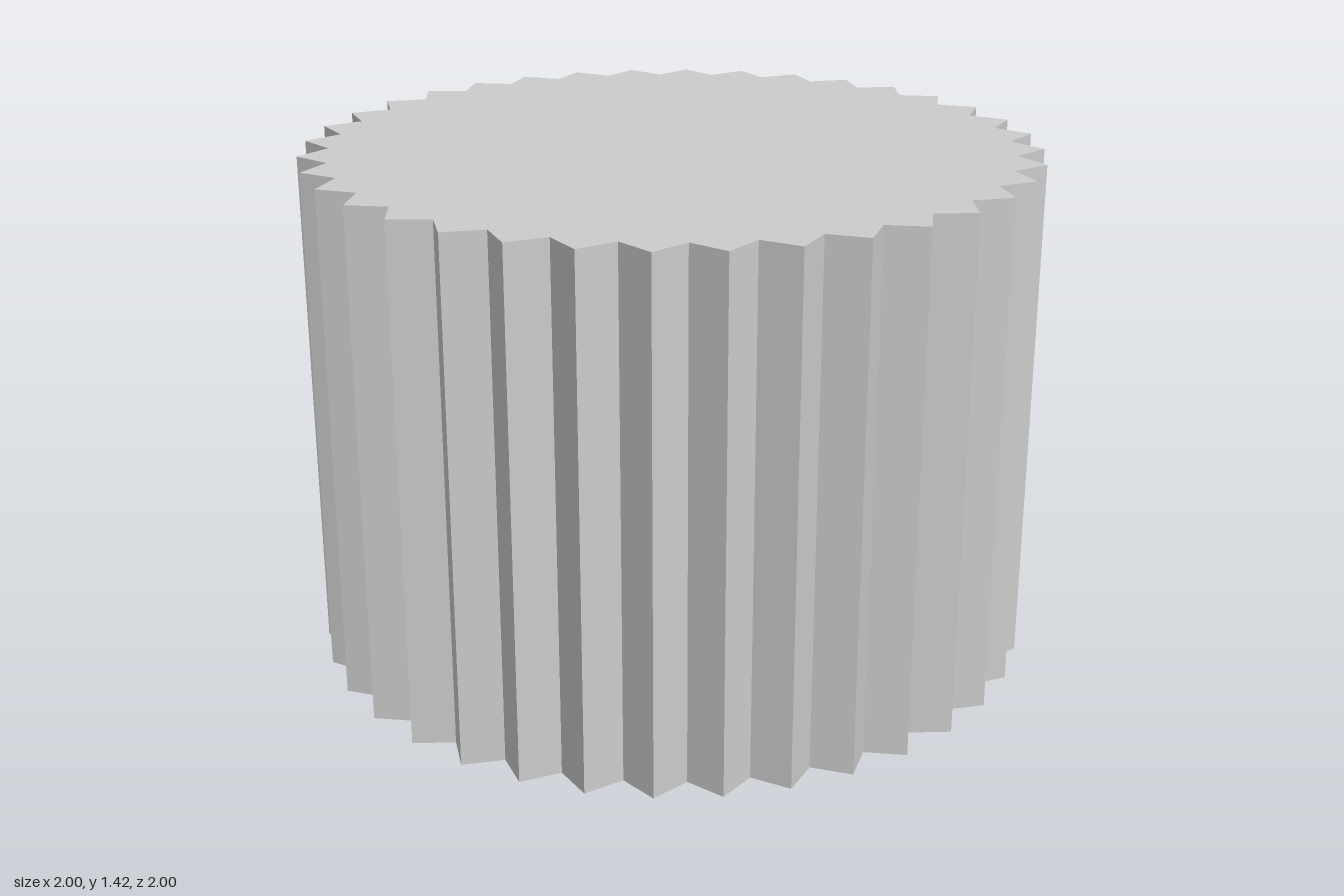
import * as THREE from 'three';

const TEETH = 36;
const TIP_RADIUS = 1.0038;
const ROOT_RADIUS = 0.9266;
const HEIGHT = 1.42;

// Star outline: roots on every whole tooth step, tips half a step between.
function toothedOutline() {
  const points = [];
  for (let i = 0; i < TEETH * 2; i++) {
    const angle = (i * Math.PI) / TEETH;
    const radius = i % 2 ? TIP_RADIUS : ROOT_RADIUS;
    points.push(new THREE.Vector2(radius * Math.cos(angle), radius * Math.sin(angle)));
  }
  return new THREE.Shape(points);
}

export function createModel() {
  const group = new THREE.Group();
  group.name = 'toothedCylinder';

  // Solid gear body, extruded and stood upright on the ground plane
  const geometry = new THREE.ExtrudeGeometry(toothedOutline(), { depth: HEIGHT, bevelEnabled: false });
  geometry.rotateX(-Math.PI / 2);

  const material = new THREE.MeshStandardMaterial({ color: 0xcccccc, flatShading: true });
  const body = new THREE.Mesh(geometry, material);
  body.name = 'gearBody';
  group.add(body);

  return group;
}
